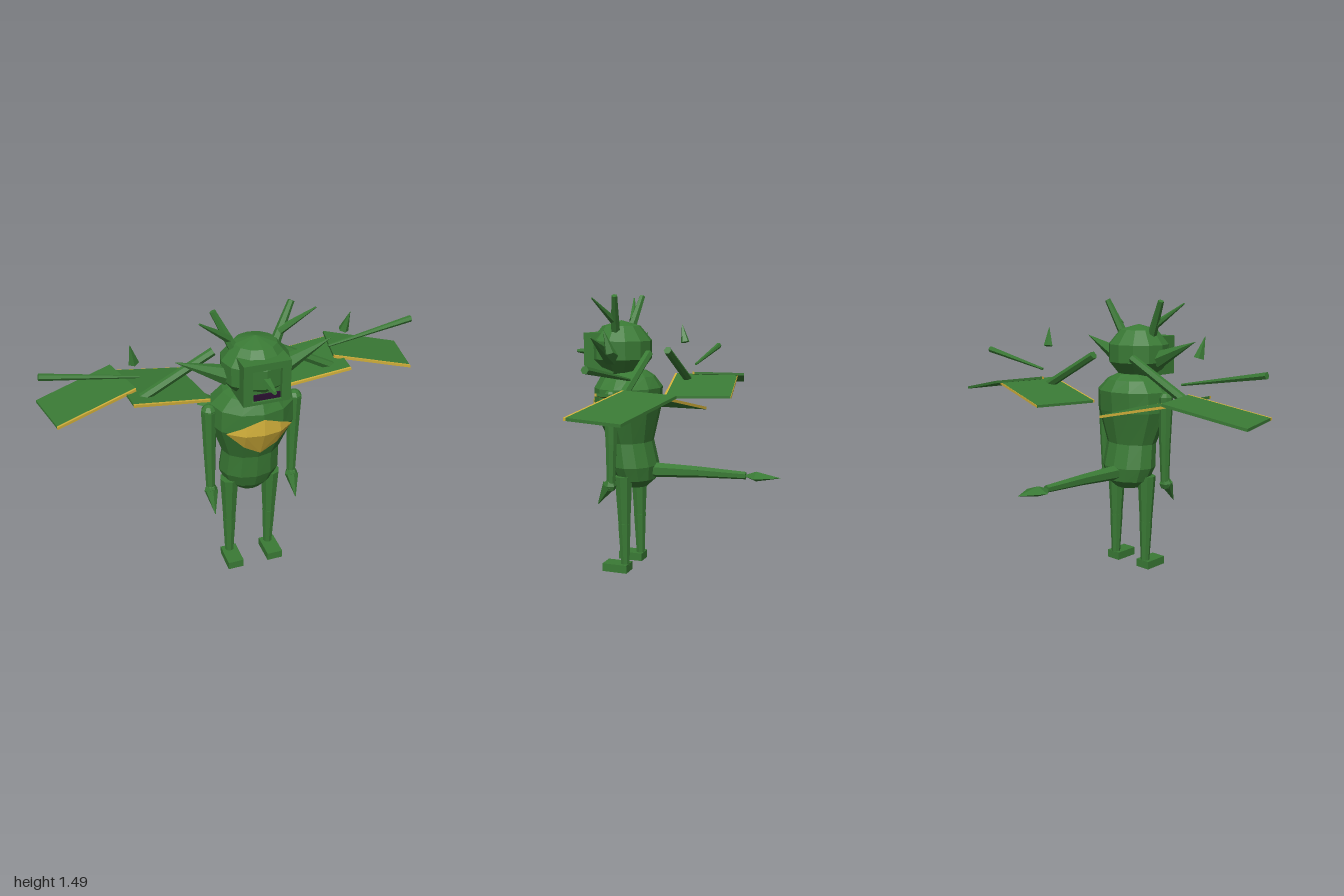
import * as THREE from 'three';
import { ConvexGeometry } from 'three/addons/geometries/ConvexGeometry.js';

const mat = (name, color) => {
  const m = new THREE.MeshStandardMaterial({ color, flatShading: true });
  m.name = name;
  return m;
};

export function createModel() {
  const green = mat('scale green', 0x3a7a35);
  const gold = mat('belly gold', 0xd0ae3a);
  const dark = mat('mouth purple', 0x2a1030);
  const root = new THREE.Group();
  const V = (x, y, z) => new THREE.Vector3(x, y, z);

  const add = (name, geo, material = green, x = 0, y = 0, z = 0) => {
    const m = new THREE.Mesh(geo, material);
    m.name = name;
    m.position.set(x, y, z);
    root.add(m);
    return m;
  };
  // Tapered rod from a to b
  const rod = (name, a, b, r0, r1, sides = 6) => {
    const dir = b.clone().sub(a);
    const m = add(name, new THREE.CylinderGeometry(r1, r0, dir.length(), sides));
    m.position.copy(a).add(b).multiplyScalar(0.5);
    m.quaternion.setFromUnitVectors(V(0, 1, 0), dir.normalize());
    return m;
  };
  const hull = (name, pts, material = green) => add(name, new ConvexGeometry(pts), material);
  // Thin plate around four corners
  const plate = (name, corners, t, material) =>
    hull(name, corners.flatMap(c => [V(c.x, c.y + t / 2, c.z), V(c.x, c.y - t / 2, c.z)]), material);

  // Torso rings: y, half width, back z, front z
  const rings = [
    [0.46, 0.07, 0.17, 0.30], [0.505, 0.13, 0.12, 0.335], [0.58, 0.16, 0.11, 0.365],
    [0.71, 0.15, 0.14, 0.375], [0.89, 0.215, 0.10, 0.45], [1.0, 0.21, 0.09, 0.45],
    [1.06, 0.15, 0.13, 0.42], [1.09, 0.08, 0.17, 0.36],
  ];
  const n = rings.length - 1;
  const torso = new THREE.CylinderGeometry(1, 1, n, 12, n);
  const p = torso.attributes.position;
  for (let i = 0; i < p.count; i++) {
    const [y, w, back, front] = rings[Math.round(p.getY(i) + n / 2)];
    p.setXYZ(i, p.getX(i) * w, y, (back + front) / 2 + p.getZ(i) * (front - back) / 2);
  }
  torso.computeVertexNormals();
  add('torso', torso);

  // Faceted chest patch
  const chest = [V(0, 0.975, 0.454), V(0, 0.89, 0.462), V(0, 0.755, 0.405), V(0, 0.88, 0.3)];
  for (const s of [-1, 1]) {
    chest.push(V(s * 0.085, 0.94, 0.44), V(s * 0.09, 0.888, 0.445),
      V(s * 0.17, 0.888, 0.387), V(s * 0.085, 0.805, 0.407));
  }
  hull('chestPatch', chest, gold);

  // Head
  const head = add('head', new THREE.SphereGeometry(1, 12, 5), green, 0, 1.2, 0.31);
  head.scale.set(0.177, 0.155, 0.172);

  // Muzzle: block with a square recess in front
  add('muzzle', new THREE.BoxGeometry(0.232, 0.21, 0.14), green, 0, 1.185, 0.38);
  const frame = new THREE.Shape([[-0.116, -0.105], [0.116, -0.105], [0.116, 0.105], [-0.116, 0.105]]
    .map(c => new THREE.Vector2(...c)));
  frame.holes.push(new THREE.Path([[-0.072, -0.09], [-0.072, 0.07], [0.072, 0.07], [0.072, -0.09]]
    .map(c => new THREE.Vector2(...c))));
  add('muzzleFrame', new THREE.ExtrudeGeometry(frame, { depth: 0.028, bevelEnabled: false }),
    green, 0, 1.185, 0.45);
  add('mouth', new THREE.BoxGeometry(0.13, 0.03, 0.008), dark, 0, 1.117, 0.473);
  rod('nose', V(0, 1.188, 0.44), V(0, 1.188, 0.572), 0.03, 0.01, 5);

  // Tail with an arrow tip
  rod('tailBase', V(0, 0.552, 0.13), V(0, 0.558, -0.13), 0.041, 0.03);
  rod('tailEnd', V(0, 0.558, -0.13), V(0, 0.557, -0.385), 0.03, 0.02);
  hull('tailTip', [V(0, 0.556, -0.37), V(0.076, 0.556, -0.445), V(-0.076, 0.556, -0.445),
    V(0, 0.582, -0.44), V(0, 0.53, -0.44), V(0, 0.556, -0.572)]);

  for (const s of [-1, 1]) {
    const S = (x, y, z) => V(s * x, y, z);
    const side = s > 0 ? 'left' : 'right';
    const name = part => side + part;

    // Ears and antlers
    rod(name('Ear'), S(0.14, 1.17, 0.31), S(0.387, 1.277, 0.31), 0.05, 0.001);
    rod(name('Horn'), S(0.09, 1.27, 0.305), S(0.192, 1.482, 0.265), 0.027, 0.016);
    rod(name('HornBranch'), S(0.125, 1.35, 0.295), S(0.28, 1.47, 0.35), 0.022, 0.004);

    // Arms
    add(name('Shoulder'), new THREE.SphereGeometry(0.04, 8, 5), green, s * 0.222, 0.965, 0.28);
    rod(name('UpperArm'), S(0.222, 0.97, 0.28), S(0.222, 0.72, 0.28), 0.04, 0.031, 8);
    rod(name('Forearm'), S(0.222, 0.73, 0.28), S(0.222, 0.5, 0.285), 0.031, 0.023, 8);
    add(name('Wrist'), new THREE.SphereGeometry(0.035, 6, 4), green, s * 0.222, 0.5, 0.29);
    rod(name('Claw'), S(0.222, 0.5, 0.298), S(0.222, 0.393, 0.362), 0.036, 0.001);

    // Legs and feet
    rod(name('Thigh'), S(0.112, 0.53, 0.26), S(0.112, 0.26, 0.258), 0.05, 0.034, 8);
    rod(name('Shin'), S(0.112, 0.27, 0.258), S(0.112, 0.03, 0.255), 0.036, 0.024, 8);
    add(name('Foot'), new THREE.BoxGeometry(0.085, 0.044, 0.14), green, s * 0.112, 0.022, 0.302);

    // Wing bones and floating spike
    rod(name('WingArm'), S(0.14, 1.19, 0.1), S(0.54, 0.978, 0.1), 0.022, 0.025);
    rod(name('WingFinger'), S(0.505, 1.09, 0.055), S(0.98, 1.174, 0.055), 0.007, 0.018);
    rod(name('WingSpike'), S(0.543, 1.215, 0.135), S(0.56, 1.322, 0.16), 0.027, 0.001, 5);

    // Wing panels: inner back, outer back, outer front, inner front
    const panels = {
      InnerWing: [S(0.23, 0.935, -0.235), S(0.61, 1.02, -0.17), S(0.57, 1.02, 0.195), S(0.165, 0.93, 0.12)],
      OuterWing: [S(0.6, 1.03, -0.213), S(0.998, 0.952, -0.11), S(0.935, 0.957, 0.172), S(0.53, 1.035, 0.072)],
    };
    for (const [part, c] of Object.entries(panels)) {
      plate(name(part), c, 0.014, green);
      const shift = (v, dz) => v.clone().add(V(0, 0, dz));
      plate(name(part + 'FrontEdge'), [c[2], c[3], shift(c[2], 0.012), shift(c[3], 0.012)], 0.014, gold);
      if (part === 'InnerWing')
        plate(name(part + 'BackEdge'), [c[0], c[1], shift(c[0], -0.003), shift(c[1], -0.003)], 0.013, gold);
    }
  }
  return root;
}
